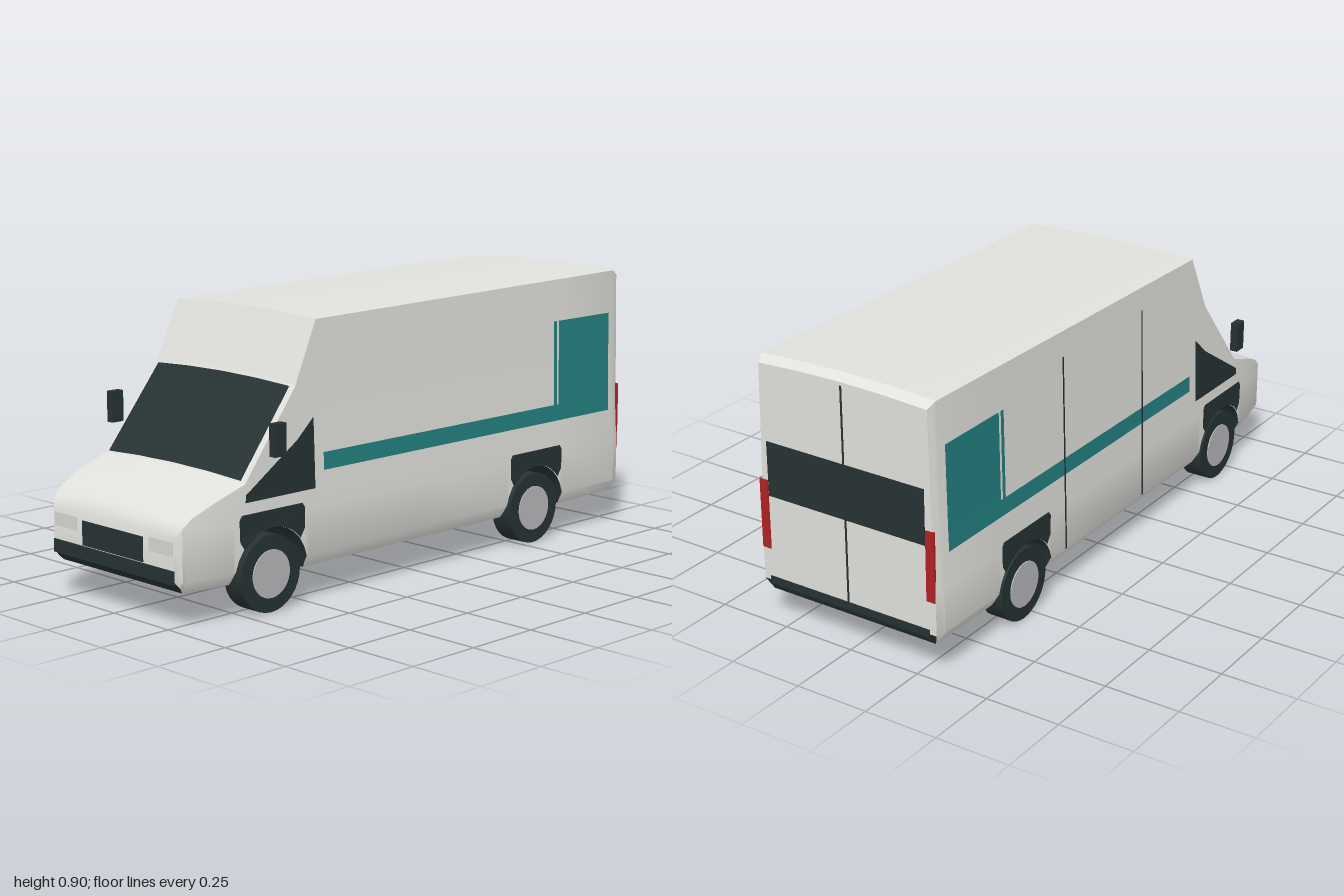
import * as THREE from 'three';
import { toCreasedNormals } from 'three/addons/utils/BufferGeometryUtils.js';

const mat = (name, color, side = THREE.FrontSide) => {
  const m = new THREE.MeshStandardMaterial({ color, side });
  m.name = name;
  return m;
};

// Linear interpolation through [key, value] pairs sorted by rising key
function interp(table, k) {
  if (k <= table[0][0]) return table[0][1];
  for (let i = 1; i < table.length; i++) {
    const [k0, v0] = table[i - 1], [k1, v1] = table[i];
    if (k <= k1) return v0 + ((v1 - v0) * (k - k0)) / (k1 - k0);
  }
  return table[table.length - 1][1];
}

// Body rules: roof line, half width by height, narrowing at the ends, wheel arches
const ROOF = [[-1, 0.87], [-0.97, 0.889], [0.46, 0.869], [0.55, 0.675], [0.76, 0.41],
  [0.87, 0.372], [0.95, 0.337], [0.985, 0.307], [1, 0.272]];
const WIDTH = [[0.11, 0.31], [0.15, 0.334], [0.3, 0.334], [0.42, 0.326], [0.88, 0.316]];
const TAPER = [[-1, 0.01], [-0.97, 0], [0.75, 0], [0.9, 0.012], [0.985, 0.032], [1, 0.05]];
const FLOOR = [[-1, 0.15], [-0.98, 0.11], [0.97, 0.11], [1, 0.148]];
const AXLES = [0.66, -0.55], WHEEL_R = 0.12, ARCH_R = 0.146, CROWN = 0.011;

const top = (z) => interp(ROOF, z);
const half = (y, z) => interp(WIDTH, y) - interp(TAPER, z);
function bottom(z) {
  for (const c of AXLES) {
    const d = Math.abs(z - c);
    if (d <= ARCH_R + 1e-6) return WHEEL_R + Math.sqrt(Math.max(0, ARCH_R ** 2 - d * d));
  }
  return interp(FLOOR, z);
}
// Point on the crowned top surface, t from 1 (left) to -1 (right)
const crownPoint = (t, z) =>
  new THREE.Vector3(t * half(top(z), z), top(z) + CROWN * (1 - t * t), z);

// Surface through rows of points
function sheet(rows, crease = 0.55) {
  const n = rows[0].length, index = [];
  for (let i = 0; i < rows.length - 1; i++) {
    for (let j = 0; j < n - 1; j++) {
      const a = i * n + j, b = a + 1, c = a + n, d = c + 1;
      index.push(a, c, b, b, c, d);
    }
  }
  const g = new THREE.BufferGeometry().setFromPoints(rows.flat());
  g.setIndex(index);
  return toCreasedNormals(g, crease);
}

// Body stations from nose to tail, dense around the arches
function stations() {
  const zs = [1, 0.985, 0.97, 0.95, 0.87, 0.76, 0.55, 0.46, 0, -0.97, -0.98, -1];
  for (const c of AXLES) {
    zs.push(c + ARCH_R + 0.004, c - ARCH_R - 0.004);
    for (let i = 0; i <= 14; i++) zs.push(c + ARCH_R * Math.cos((i * Math.PI) / 14));
  }
  return zs.sort((a, b) => b - a);
}

function section(z) {
  const lo = bottom(z), hi = top(z);
  const side = [lo, 0.15, 0.3, 0.42, hi].map((level) => {
    const y = Math.min(Math.max(level, lo), hi);
    return new THREE.Vector3(half(y, z), y, z);
  });
  const roof = [0.5, 0, -0.5].map((t) => crownPoint(t, z));
  const mirrored = side.map((p) => new THREE.Vector3(-p.x, p.y, p.z)).reverse();
  return [...side, ...roof, ...mirrored];
}

// Thin plate hugging a body side; points are [z, y], s is +1 left or -1 right
function sidePlate(points, s, offset = 0.004) {
  const g = new THREE.ShapeGeometry(new THREE.Shape(points.map((p) => new THREE.Vector2(...p))));
  const p = g.attributes.position;
  for (let i = 0; i < p.count; i++) {
    const z = p.getX(i), y = p.getY(i);
    p.setXYZ(i, s * (half(y, z) + offset), y, z);
  }
  g.computeVertexNormals();
  return g;
}
const rect = (z0, z1, y0, y1) => [[z0, y0], [z1, y0], [z1, y1], [z0, y1]];

export function createModel() {
  const van = new THREE.Group();
  van.name = 'van';
  const white = mat('bodyWhite', 0xe0e0dc);
  const dark = mat('darkTrim', 0x263232, THREE.DoubleSide);
  const teal = mat('tealStripe', 0x238181, THREE.DoubleSide);
  const red = mat('tailRed', 0xb02024);
  const grey = mat('hubGrey', 0xb8b8bc);
  const lamp = mat('lampGrey', 0xd8d8d6);

  const add = (name, geometry, material, parent = van) => {
    const m = new THREE.Mesh(geometry, material);
    m.name = name;
    parent.add(m);
    return m;
  };
  // Box given by its limits
  const box = (name, x0, x1, y0, y1, z0, z1, material) =>
    add(name, new THREE.BoxGeometry(x1 - x0, y1 - y0, z1 - z0), material)
      .position.set((x0 + x1) / 2, (y0 + y1) / 2, (z0 + z1) / 2);

  // Body shell, closed at nose and tail, with a dark floor and wheel tunnels
  const zs = stations();
  const rings = zs.map(section);
  const cap = (ring) => ring.map((p) => new THREE.Vector3(0, ring[0].y, p.z));
  add('bodyShell', sheet([cap(rings[0]), ...rings, cap(rings[rings.length - 1])]), white);
  add('underside', sheet(rings.map((r) => [r[r.length - 1], r[0]])), dark);

  // Windscreen
  const screen = [0.757, 0.553].map((z) =>
    [0.945, 0.5, 0, -0.5, -0.945].map((t) =>
      crownPoint(t, z).add(new THREE.Vector3(0, 0.003, 0.004))));
  add('windscreen', sheet(screen), dark);

  // Nose details
  box('frontBumper', -0.283, 0.283, 0.14, 0.182, 0.985, 1.004, dark);
  box('grille', -0.142, 0.142, 0.185, 0.262, 0.996, 1.003, dark);

  // Tail details
  box('rearWindow', -0.29, 0.29, 0.44, 0.62, -1.003, -0.997, dark);
  box('rearDoorSeam', -0.003, 0.003, 0.15, 0.87, -1.002, -0.997, dark);
  box('rearSill', -0.3, 0.3, 0.14, 0.165, -1.003, -0.99, dark);

  // Parts on both sides
  for (const s of [1, -1]) {
    const side = s > 0 ? 'left' : 'right';
    const span = (a, b) => (s > 0 ? [a, b] : [-b, -a]);
    box(side + 'Headlight', ...span(0.17, 0.278), 0.225, 0.268, 0.994, 1.002, lamp);
    box(side + 'TailLight', ...span(0.293, 0.323), 0.26, 0.49, -1.004, -0.996, red);
    box(side + 'Mirror', ...span(0.365, 0.391), 0.49, 0.59, 0.653, 0.698, dark);

    add(side + 'CabWindow', sidePlate(
      [[0.765, 0.355], [0.48, 0.355], [0.48, 0.575], [0.55, 0.513], [0.762, 0.378]], s), dark);

    add(side + 'Stripe', sidePlate(rect(-0.94, 0.44, 0.405, 0.46), s), teal);
    add(side + 'StripeBar', sidePlate(rect(-0.663, -0.648, 0.46, 0.745), s), teal);
    add(side + 'StripePanel', sidePlate(rect(-0.94, -0.673, 0.46, 0.745), s), teal);

    for (const c of AXLES) {
      const end = c > 0 ? 'Front' : 'Rear';
      // Arch trim above the wheel opening
      const trim = [[0.13, 0.24], [0.132, 0.305], [0.122, 0.32],
        [-0.122, 0.32], [-0.132, 0.305], [-0.13, 0.24]].map(([d, y]) => [c + d, y]);
      for (let i = 0; i <= 12; i++) {
        const a = Math.PI * (0.78 - (0.56 * i) / 12);
        trim.push([c + ARCH_R * Math.cos(a), WHEEL_R + ARCH_R * Math.sin(a)]);
      }
      add(side + end + 'ArchTrim', sidePlate(trim, s, 0.005), dark);

      // Wheel
      const wheel = new THREE.Group();
      wheel.name = side + end + 'Wheel';
      wheel.position.set(s * 0.289, WHEEL_R, c);
      wheel.rotation.z = (-s * Math.PI) / 2;
      add('tyre', new THREE.CylinderGeometry(WHEEL_R, WHEEL_R, 0.077, 32), dark, wheel);
      add('hub', new THREE.CylinderGeometry(0.075, 0.075, 0.01, 32), grey, wheel).position.y = 0.037;
      van.add(wheel);
    }
  }

  // Sliding door seams on the right side only
  for (const z of [-0.33, 0.13]) {
    add('slidingDoorSeam', sidePlate(rect(z - 0.004, z + 0.004, 0.15, 0.8), -1, 0.006), dark);
  }
  return van;
}
